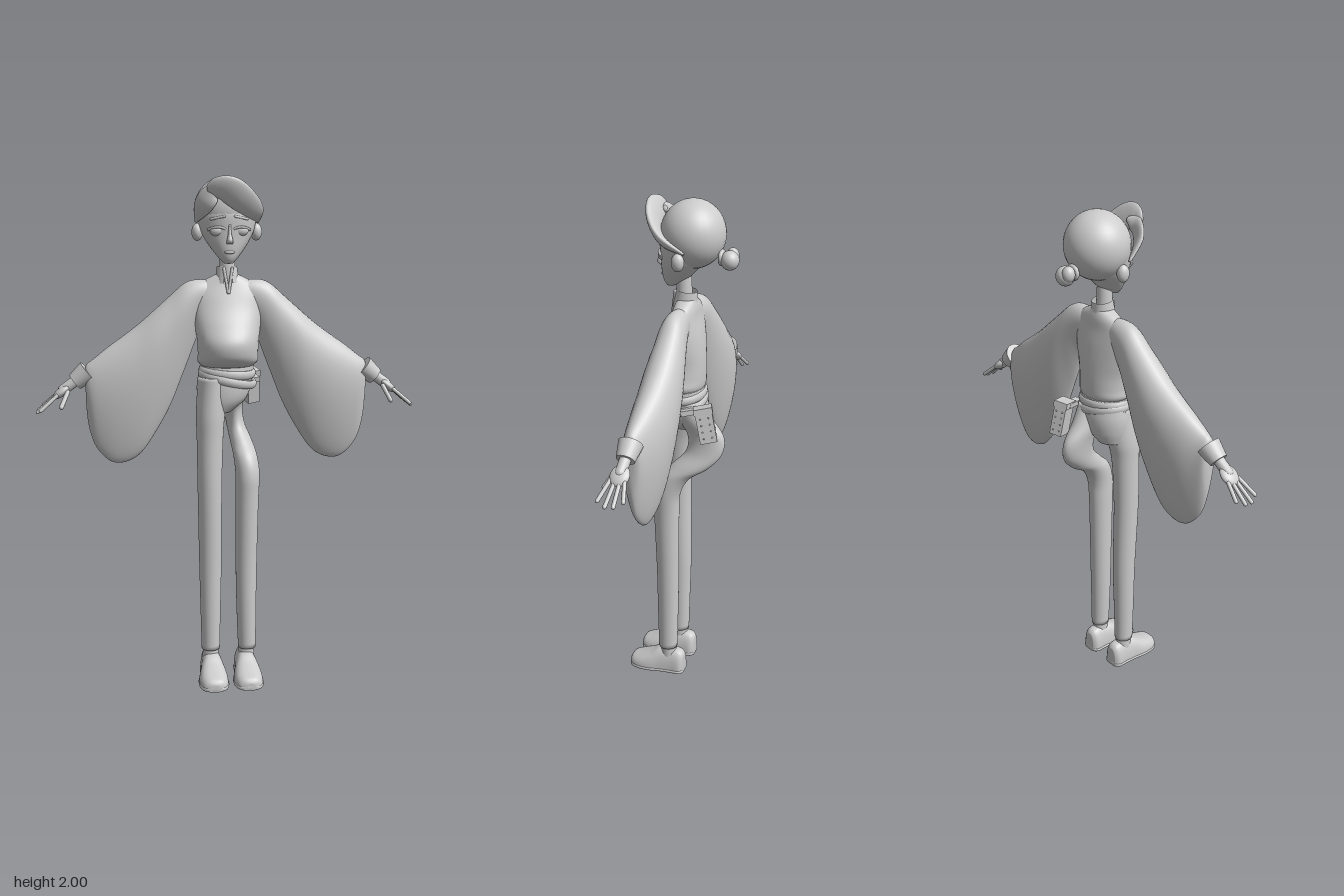
import * as THREE from 'three';

const V = (x, y, z) => new THREE.Vector3(x, y, z);

// Smooth interpolation through rows of numbers, t in 0..1
function sample(rows, t) {
  const f = t * (rows.length - 1), i = Math.min(Math.floor(f), rows.length - 2), u = f - i;
  const at = k => rows[Math.max(0, Math.min(rows.length - 1, k))];
  const [a, b, c, d] = [at(i - 1), at(i), at(i + 1), at(i + 2)];
  return b.map((_, k) => {
    const m0 = (c[k] - a[k]) / 2, m1 = (d[k] - b[k]) / 2, e = b[k] - c[k];
    return b[k] + u * (m0 + u * (-3 * e - 2 * m0 - m1 + u * (2 * e + m0 + m1)));
  });
}

// Closed skin over cross-sections; point(row, angle, t) gives a surface point
function skin(rows, point, steps = 40, around = 32) {
  const pos = [], idx = [];
  for (let i = 0; i <= steps; i++) {
    const row = sample(rows, i / steps);
    for (let j = 0; j < around; j++) pos.push(...point(row, j / around * Math.PI * 2, i / steps));
  }
  for (let i = 0; i < steps; i++) for (let j = 0; j < around; j++) {
    const k = (j + 1) % around, a = i * around + j, b = i * around + k;
    idx.push(a, a + around, b, b, a + around, b + around);
  }
  for (const i of [0, steps]) {
    const c = [0, 0, 0], n = pos.length / 3, s = i * around;
    for (let j = 0; j < around; j++) for (let k = 0; k < 3; k++) c[k] += pos[(s + j) * 3 + k] / around;
    pos.push(...c);
    for (let j = 0; j < around; j++) {
      const k = (j + 1) % around;
      if (i) idx.push(n, s + k, s + j); else idx.push(n, s + j, s + k);
    }
  }
  const g = new THREE.BufferGeometry();
  g.setAttribute('position', new THREE.Float32BufferAttribute(pos, 3));
  g.setIndex(idx);
  g.computeVertexNormals();
  return g;
}

// Upright form, rows: [y, x, z, radiusX, radiusZ]
const upright = (rows, steps) => skin(rows,
  ([y, x, z, rx, rz], a) => [x + rx * Math.cos(a), y, z + rz * Math.sin(a)], steps);

function mirror(geo) {
  const g = geo.clone().scale(-1, 1, 1), ix = g.index.array;
  for (let i = 0; i < ix.length; i += 3) [ix[i], ix[i + 1]] = [ix[i + 1], ix[i]];
  return g;
}

// Ellipsoid and rounded rod
const ball = (p, rx, ry = rx, rz = rx) => new THREE.SphereGeometry(1, 32, 20).scale(rx, ry, rz).translate(p.x, p.y, p.z);
function rod(a, b, r) {
  const d = b.clone().sub(a);
  return new THREE.CapsuleGeometry(r, d.length(), 6, 14)
    .applyQuaternion(new THREE.Quaternion().setFromUnitVectors(V(0, 1, 0), d.normalize()))
    .translate((a.x + b.x) / 2, (a.y + b.y) / 2, (a.z + b.z) / 2);
}

// Flattened hair lock along a path, rows: [x, y, z, halfWidth, halfThickness]
function lock(rows) {
  return skin(rows, ([x, y, z, w, h], a, t) => {
    const q = sample(rows, Math.min(1, t + 0.01)), r = sample(rows, Math.max(0, t - 0.01));
    const dir = V(q[0] - r[0], q[1] - r[1], q[2] - r[2]).normalize();
    const out = V(x, y - 2.0, z);
    out.addScaledVector(dir, -out.dot(dir)).normalize();
    const side = dir.clone().cross(out);
    return V(x, y, z).addScaledVector(out, -h * Math.sin(a)).addScaledVector(side, -w * Math.cos(a)).toArray();
  }, 30, 24);
}

export function createModel() {
  const model = new THREE.Group();
  model.name = 'robedFigure';
  const clay = new THREE.MeshStandardMaterial({ color: 0xcccccc, side: THREE.DoubleSide });
  clay.name = 'lightGrey';
  const add = (name, geo) => {
    const m = new THREE.Mesh(geo, clay);
    m.name = name;
    model.add(m);
    return m;
  };
  const pair = (name, geo) => { add(name + 'Left', geo); add(name + 'Right', mirror(geo)); };

  // Head, neck and face
  add('head', upright([
    [1.675, 0, 0.05, 0.016, 0.016], [1.695, 0, 0.036, 0.036, 0.042], [1.73, 0, 0.02, 0.064, 0.063],
    [1.77, 0, 0.004, 0.09, 0.08], [1.81, 0, -0.005, 0.106, 0.09], [1.86, 0, -0.015, 0.112, 0.1],
    [1.92, 0, -0.02, 0.09, 0.088]]));
  add('neck', new THREE.CylinderGeometry(0.027, 0.034, 0.16, 24).translate(0, 1.65, 0));
  add('nose', skin([[1.75, 0.083, 0.013, 0.014], [1.762, 0.09, 0.012, 0.016], [1.785, 0.084, 0.007, 0.012], [1.82, 0.078, 0.005, 0.01]],
    ([y, z, rx, rz], a) => [rx * Math.cos(a), y, z + rz * Math.sin(a)], 12, 16));
  add('lips', ball(V(0, 1.718, 0.079), 0.02, 0.006, 0.008));
  pair('eye', ball(V(0.045, 1.797, 0.066), 0.028, 0.02, 0.016));
  pair('upperLid', new THREE.TubeGeometry(new THREE.QuadraticBezierCurve3(
    V(0.014, 1.803, 0.08), V(0.045, 1.82, 0.09), V(0.08, 1.8, 0.06)), 16, 0.005, 8));
  pair('brow', rod(V(0.02, 1.85, 0.083), V(0.068, 1.84, 0.067), 0.005));
  pair('ear', ball(V(0.113, 1.79, -0.015), 0.022, 0.033, 0.024));

  // Hair
  add('hairCap', ball(V(0, 1.872, -0.035), 0.124, 0.126, 0.121));
  add('frontLock', lock([[-0.085, 1.95, 0.1, 0.012, 0.006], [-0.05, 1.955, 0.108, 0.04, 0.014], [0, 1.945, 0.11, 0.054, 0.018],
    [0.055, 1.905, 0.092, 0.05, 0.018], [0.103, 1.86, 0.045, 0.035, 0.015], [0.122, 1.825, -0.04, 0.006, 0.005]]));
  add('sideLock', lock([[-0.03, 1.95, 0.085, 0.01, 0.008], [-0.07, 1.93, 0.09, 0.035, 0.012], [-0.1, 1.885, 0.07, 0.035, 0.012],
    [-0.12, 1.83, 0.01, 0.006, 0.005]]));
  add('bunBand', new THREE.TorusGeometry(0.022, 0.009, 10, 24).translate(0.005, 1.795, -0.147));
  add('bun', ball(V(0.01, 1.788, -0.178), 0.036, 0.036, 0.034));
  add('bunEnd', ball(V(-0.012, 1.8, -0.182), 0.024, 0.03, 0.024));

  // Blouse body with a full front gathered at the hem
  add('blouse', upright([
    [1.28, 0, 0.002, 0.1, 0.08], [1.3, 0, 0.015, 0.117, 0.098], [1.33, 0, 0.025, 0.117, 0.11],
    [1.38, 0, 0.027, 0.119, 0.112], [1.44, 0, 0.013, 0.128, 0.094], [1.5, 0, 0, 0.135, 0.073],
    [1.56, 0, -0.007, 0.135, 0.054], [1.6, 0, -0.012, 0.1, 0.044], [1.63, 0, -0.012, 0.044, 0.036]], 48));
  add('collar', new THREE.CylinderGeometry(0.039, 0.047, 0.065, 32, 4, true, 0.35, Math.PI * 2 - 0.7)
    .rotateX(-0.1).translate(0, 1.628, -0.008));
  pair('collarEdge', rod(V(0.016, 1.655, 0.03), V(0.001, 1.565, 0.046), 0.006));

  // Wide hanging sleeves, rows: [x, top, bottom, z, halfThickness]
  pair('sleeve', skin([
    [0.03, 1.6, 1.45, -0.01, 0.035], [0.1, 1.612, 1.42, -0.01, 0.046], [0.16, 1.6, 1.28, -0.01, 0.058],
    [0.22, 1.55, 1.13, -0.012, 0.07], [0.28, 1.497, 1.02, -0.012, 0.079], [0.34, 1.445, 0.935, -0.012, 0.081],
    [0.4, 1.4, 0.9, -0.01, 0.077], [0.46, 1.358, 0.905, -0.006, 0.066], [0.515, 1.315, 0.965, 0, 0.048],
    [0.542, 1.295, 1.05, 0, 0.034], [0.55, 1.28, 1.14, 0, 0.02]],
  ([x, top, bot, z, w], a) => [x, (top + bot) / 2 + (top - bot) / 2 * Math.cos(a),
    z - w * Math.sin(a) * (0.9 + 0.35 * Math.cos(a))], 60, 40));

  // Cuffs and hands
  const along = new THREE.Quaternion().setFromUnitVectors(V(0, 1, 0), V(0.78, -0.62, 0).normalize());
  pair('cuff', new THREE.CylinderGeometry(0.034, 0.045, 0.065, 28).applyQuaternion(along).translate(0.565, 1.245, 0));
  pair('wrist', rod(V(0.56, 1.25, 0), V(0.635, 1.195, 0), 0.021));
  pair('palm', new THREE.SphereGeometry(1, 24, 16).scale(0.017, 0.042, 0.036).applyQuaternion(along).translate(0.642, 1.188, 0));
  pair('thumb', rod(V(0.618, 1.19, 0.025), V(0.643, 1.137, 0.058), 0.009));
  [[0.028, 0.05, 0.722], [0.01, 0.018, 0.735], [-0.008, -0.012, 0.732], [-0.025, -0.042, 0.715]].forEach(([z0, z1, x], i) =>
    pair('finger' + (i + 1), rod(V(0.66, 1.176, z0), V(x, 1.176 - (x - 0.66) * 0.85, z1), 0.0075)));

  // Trousers: straight right leg, left leg swinging back at the hip
  add('trouserHips', upright([[1.1, -0.045, 0.005, 0.06, 0.065], [1.15, -0.022, 0.002, 0.095, 0.085],
    [1.21, -0.012, 0, 0.107, 0.09], [1.285, 0, 0, 0.105, 0.08]]));
  add('trouserLegRight', upright([
    [0.12, -0.073, 0.045, 0.037, 0.039], [0.3, -0.073, 0.044, 0.041, 0.043], [0.5, -0.073, 0.043, 0.045, 0.047],
    [0.8, -0.075, 0.05, 0.048, 0.052], [1.0, -0.073, 0.045, 0.052, 0.057], [1.1, -0.069, 0.034, 0.057, 0.068],
    [1.24, -0.055, 0.01, 0.06, 0.08]]));
  add('trouserLegLeft', upright([
    [0.12, 0.076, 0.045, 0.036, 0.039], [0.3, 0.073, 0.045, 0.04, 0.043], [0.5, 0.072, 0.045, 0.043, 0.046],
    [0.75, 0.074, 0.048, 0.046, 0.051], [0.85, 0.076, 0.045, 0.048, 0.055], [0.92, 0.07, 0.015, 0.047, 0.063],
    [0.97, 0.06, -0.045, 0.044, 0.075], [1.03, 0.044, -0.097, 0.037, 0.073], [1.1, 0.035, -0.1, 0.038, 0.074],
    [1.17, 0.035, -0.05, 0.05, 0.073], [1.24, 0.04, -0.01, 0.055, 0.07]], 60));

  // Crossed belts and hip pouch
  const belt = (name, y, tilt, lean, s) => add(name, new THREE.TorusGeometry(1, 0.1, 10, 48).rotateX(Math.PI / 2)
    .scale(0.104 * s, 0.17, 0.084 * s).rotateZ(tilt).rotateX(lean).translate(0, y, 0.002));
  belt('upperBelt', 1.257, -0.08, 0.06, 0.98);
  belt('lowerBelt', 1.23, -0.22, 0.05, 1.03);
  const pouch = new THREE.Group();
  pouch.name = 'pouch';
  pouch.position.set(0.108, 1.175, -0.125);
  pouch.rotation.set(0.2, 0.35, 0.05);
  const part = (name, geo) => { const m = add(name, geo); pouch.add(m); };
  part('pouchBody', new THREE.BoxGeometry(0.05, 0.13, 0.065));
  part('pouchLid', new THREE.BoxGeometry(0.058, 0.025, 0.072).translate(0, 0.06, 0));
  part('pouchStrap', new THREE.BoxGeometry(0.03, 0.02, 0.09).translate(-0.015, 0.058, 0.04));
  for (let r = 0; r < 4; r++) for (const c of [-1, 1]) {
    const y = -0.045 + r * 0.026;
    part('pouchStud', ball(V(0.025, y, c * 0.016), 0.003));
    part('pouchStud', ball(V(c * 0.013, y, -0.0325), 0.003));
  }
  model.add(pouch);

  // Ankles and shoes, rows: [z, halfWidth, height]
  const last = [[0.212, 0.02, 0.03], [0.2, 0.044, 0.046], [0.165, 0.057, 0.06], [0.12, 0.057, 0.08], [0.08, 0.049, 0.102],
    [0.03, 0.043, 0.108], [-0.01, 0.04, 0.102], [-0.026, 0.024, 0.085]];
  const soft = (v, p) => Math.sign(v) * Math.abs(v) ** p;
  pair('ankle', new THREE.CylinderGeometry(0.031, 0.034, 0.08, 24).translate(0.073, 0.1, 0.042));
  pair('shoe', skin(last, ([z, w, h], a) => {
    const s = Math.sin(a);
    return [0.07 + w * soft(Math.cos(a), 0.75), s > 0 ? 0.01 + (h - 0.01) * s ** 0.85 : 0.01 + 0.006 * s, z];
  }, 30, 32));
  pair('sole', skin(last, ([z, w], a) =>
    [0.07 + (w + 0.003) * soft(Math.cos(a), 0.5), 0.009 + 0.009 * soft(Math.sin(a), 0.5), z], 30, 24));
  return model;
}
